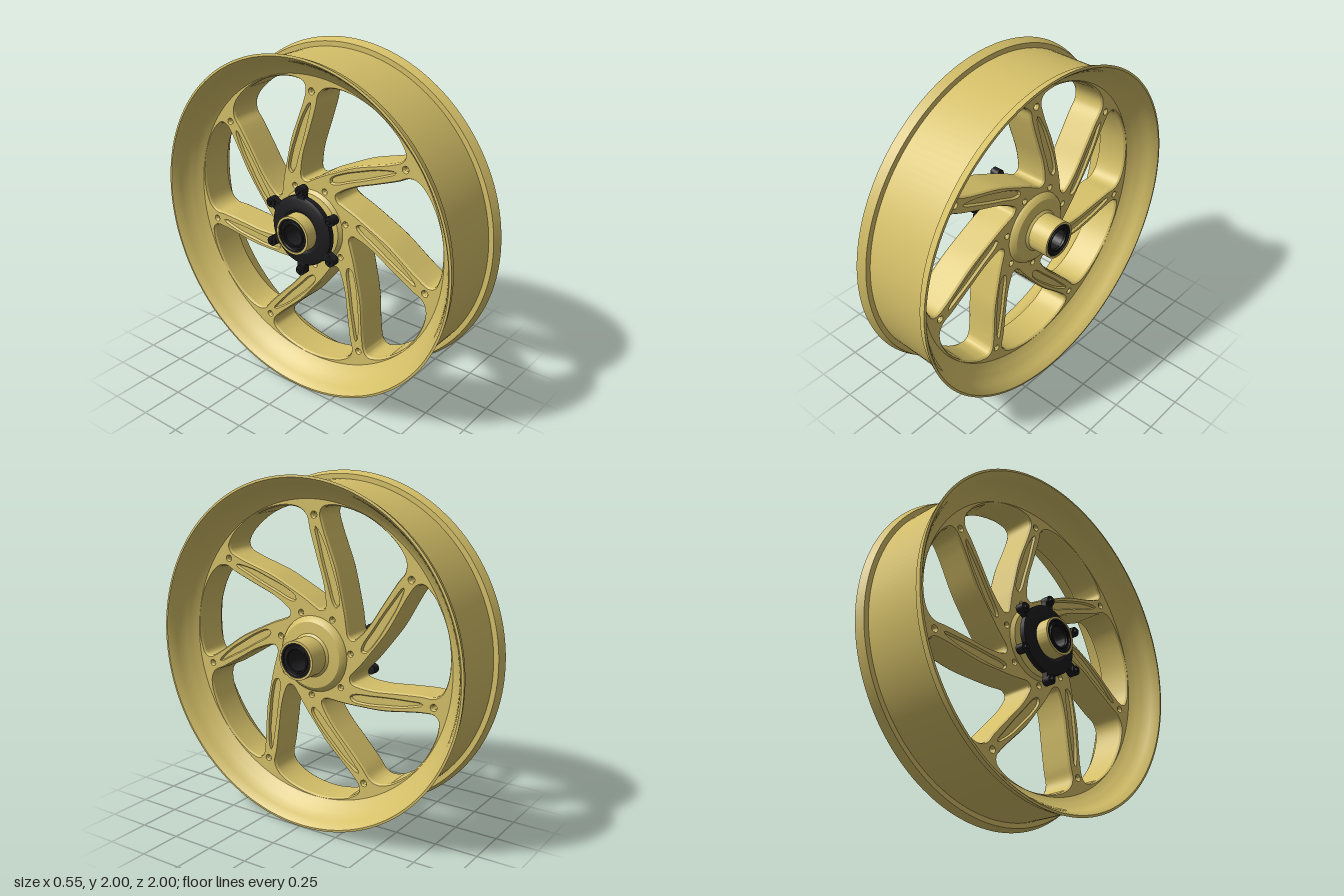
import * as THREE from 'three';
import { toCreasedNormals } from 'three/addons/utils/BufferGeometryUtils.js';

const SPOKES = 7;
const STEP = (Math.PI * 2) / SPOKES;
const DEG = Math.PI / 180;

const gold = new THREE.MeshStandardMaterial({ color: 0xd4bf68 });
gold.name = 'gold';
const black = new THREE.MeshStandardMaterial({ color: 0x1c1c1e });
black.name = 'black';

// The wheel is built with its axle along z, then turned so the axle lies on x.
function part(name, geometry, material, crease = 0.5) {
  const mesh = new THREE.Mesh(toCreasedNormals(geometry, crease), material);
  mesh.name = name;
  return mesh;
}

// Closed ring from [radius, axial] points, outer side running towards +axial
function ring(profile, segments = 128) {
  const pts = [...profile, profile[0]].map(([r, a]) => new THREE.Vector2(r, a));
  return new THREE.LatheGeometry(pts, segments).rotateX(Math.PI / 2);
}

// Polar point; degrees are measured from a spoke tip
function polar(r, deg, turn) {
  const a = Math.PI / 2 + deg * DEG + turn;
  return new THREE.Vector2(r * Math.cos(a), r * Math.sin(a));
}

function smoothHole(points, turn, divisions) {
  const curve = new THREE.SplineCurve([...points, points[0]].map(([r, d]) => polar(r, d, turn)));
  const closed = new THREE.CatmullRomCurve3(
    curve.points.slice(0, -1).map((p) => new THREE.Vector3(p.x, p.y, 0)), true, 'centripetal');
  const pts = closed.getPoints(divisions).slice(0, -1);
  return new THREE.Path(pts.map((p) => new THREE.Vector2(p.x, p.y)));
}

function roundHole(r, deg, turn, radius) {
  const c = polar(r, deg, turn);
  return new THREE.Path().absarc(c.x, c.y, radius, 0, Math.PI * 2, true);
}

// Window between two curved spokes: trailing edge, hub end, leading edge, rim end
const WINDOW = [
  [0.79, -3.3], [0.72, -5], [0.65, -8], [0.52, -16.5], [0.40, -27.5], [0.32, -41],
  [0.28, -52], [0.265, -60], [0.28, -65.5], [0.32, -64.5], [0.42, -59], [0.55, -52.7],
  [0.70, -48.6], [0.77, -47.6], [0.81, -45], [0.835, -40], [0.85, -32], [0.857, -22],
  [0.85, -12], [0.84, -7.5], [0.823, -4.3],
];

// Shallow tapering pocket on a spoke face
const POCKET = [
  [0.71, -1], [0.62, -3.2], [0.52, -7], [0.42, -13.5], [0.34, -22], [0.325, -27],
  [0.345, -28], [0.42, -20.5], [0.52, -12], [0.62, -6.2],
];

function spokePlate(half, withPockets, bevel) {
  const shape = new THREE.Shape().absarc(0, 0, 0.925, 0, Math.PI * 2, false);
  shape.holes.push(new THREE.Path().absarc(0, 0, 0.1, 0, Math.PI * 2, true));
  for (let i = 0; i < SPOKES; i++) {
    const turn = i * STEP;
    shape.holes.push(smoothHole(WINDOW, turn, 84));
    shape.holes.push(roundHole(0.78, 0, turn, 0.013));
    shape.holes.push(roundHole(0.245, -30, turn, 0.011));
    if (withPockets) shape.holes.push(smoothHole(POCKET, turn, 40));
  }
  const depth = 2 * (half - bevel);
  return new THREE.ExtrudeGeometry(shape, {
    depth, curveSegments: 24, bevelEnabled: bevel > 0, bevelThickness: bevel,
    bevelSize: bevel * 0.6, bevelOffset: -bevel * 0.6, bevelSegments: 1,
  }).translate(0, 0, -depth / 2);
}

export function createModel() {
  const wheel = new THREE.Group();
  wheel.name = 'wheel';

  // Rim: half section mirrored about the centre plane
  const outer = [[0.953, 0.2], [0.982, 0.2], [1.0, 0.25], [0.987, 0.252]];
  const inner = [[0.972, 0.235], [0.955, 0.205], [0.94, 0.175], [0.922, 0.155],
    [0.905, 0.135], [0.885, 0.115], [0.865, 0.1], [0.862, 0.085], [0.9, 0.07]];
  const half = [...outer, ...inner];
  const mirrored = half.map(([r, a]) => [r, -a]).reverse();
  wheel.add(part('rim', ring([...mirrored, ...half], 160), gold, 0.4));

  // Spokes: solid core plus bevelled faces that carry the pockets
  wheel.add(part('spokeCore', spokePlate(0.086, false, 0), gold));
  wheel.add(part('spokeFaces', spokePlate(0.1, true, 0.012), gold));

  // Hub with a raised shoulder and a boss at each end
  wheel.add(part('hub', ring([
    [0.065, -0.262], [0.098, -0.262], [0.1, -0.275], [0.112, -0.275], [0.112, -0.17],
    [0.15, -0.165], [0.155, -0.13], [0.2, -0.12], [0.222, -0.095],
    [0.222, 0.095], [0.212, 0.115], [0.19, 0.132], [0.125, 0.138], [0.112, 0.15],
    [0.112, 0.275], [0.1, 0.275], [0.098, 0.262], [0.065, 0.262],
  ], 96), gold));

  // Bearings and their seals
  for (const s of [1, -1]) {
    const g = ring([[0.0645, 0.2], [0.0995, 0.2], [0.0995, 0.272], [0.09, 0.272],
      [0.086, 0.266], [0.076, 0.266], [0.073, 0.272], [0.0645, 0.272]], 64);
    if (s < 0) g.rotateX(Math.PI);
    wheel.add(part(s > 0 ? 'leftBearing' : 'rightBearing', g, black));
  }
  wheel.add(part('axleSleeve', ring([[0.062, -0.26], [0.07, -0.26], [0.07, 0.26], [0.062, 0.26]], 64), black));

  // Six-lug carrier on the -x side
  const carrier = new THREE.Group();
  carrier.name = 'carrier';
  carrier.add(part('carrierRing', ring([[0.112, -0.2], [0.13, -0.21], [0.185, -0.205],
    [0.205, -0.195], [0.205, -0.165], [0.112, -0.165]], 72), black));
  for (let i = 0; i < 6; i++) {
    const lug = new THREE.Group();
    lug.name = 'carrierLug';
    const arm = part('lugArm', new THREE.BoxGeometry(0.055, 0.075, 0.035), black);
    arm.position.set(0, 0.215, -0.183);
    const pad = part('lugPad', new THREE.CylinderGeometry(0.029, 0.029, 0.05, 20).rotateX(Math.PI / 2), black);
    pad.position.set(0, 0.243, -0.188);
    const bolt = part('lugBolt', new THREE.CylinderGeometry(0.014, 0.014, 0.02, 6).rotateX(Math.PI / 2), black);
    bolt.position.set(0, 0.243, -0.218);
    lug.add(arm, pad, bolt);
    lug.rotation.z = (i * Math.PI) / 3;
    carrier.add(lug);
  }
  wheel.add(carrier);

  wheel.rotation.y = Math.PI / 2;
  wheel.position.y = 1;
  const model = new THREE.Group();
  model.name = 'motorWheel';
  model.add(wheel);
  return model;
}
